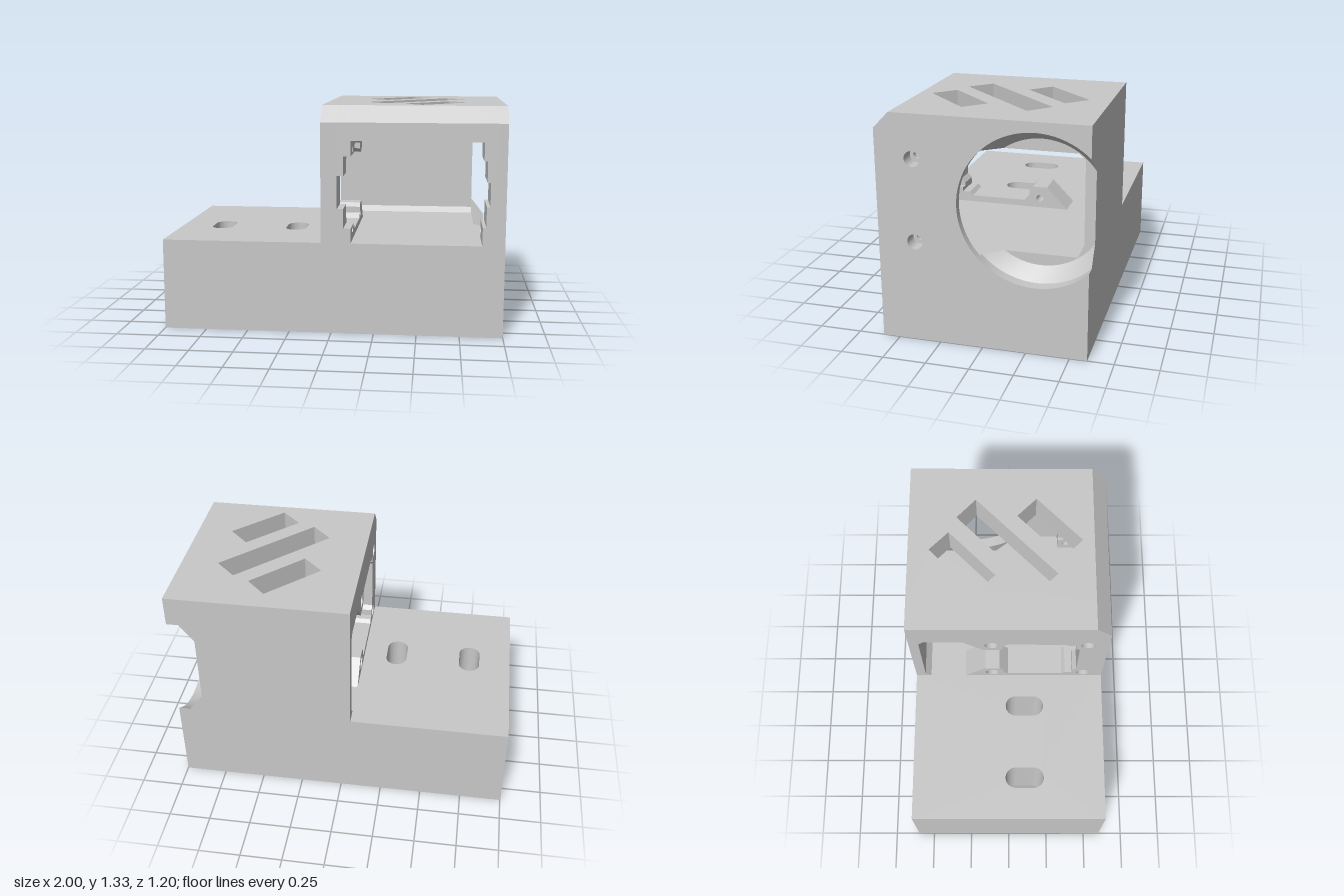
import * as THREE from 'three';
import { toCreasedNormals } from 'three/addons/utils/BufferGeometryUtils.js';

const CY = 0.8375, HALF = 0.2975, CZ = -0.3;   // centre height and half height of the cavity, port centre z
const TOP = 1.333, FLOOR = CY - HALF, CEIL = CY + HALF;

export function createModel() {
  const group = new THREE.Group();
  const grey = new THREE.MeshStandardMaterial({ color: 0xc8c8c8 });
  grey.name = 'grey';

  const add = (name, geometry) => {
    const mesh = new THREE.Mesh(toCreasedNormals(geometry, 0.5), grey);
    mesh.name = name;
    group.add(mesh);
  };
  // Points given as [a, b]; sign flips the first or second axis for the rotation
  const shapeOf = (pts, sx, sy) => new THREE.Shape(pts.map(([a, b]) => new THREE.Vector2(a * sx, b * sy)));
  const circle = (a, b, r) => new THREE.Path().absarc(a, b, r, 0, Math.PI * 2);

  // Slice with a (z, y) section between two x positions; startPts replaces the section at x0
  const slice = (name, x0, x1, pts, holes = [], startPts = null) => {
    const shape = shapeOf(pts, -1, 1);
    shape.holes.push(...holes);
    const g = new THREE.ExtrudeGeometry(shape, { depth: x1 - x0, bevelEnabled: false, curveSegments: 20 });
    if (startPts) {
      const p = g.attributes.position;
      for (let i = 0; i < p.count; i++) {
        if (p.getZ(i) > (x1 - x0) / 2) continue;
        const k = pts.findIndex(([z, y]) => Math.hypot(p.getX(i) + z, p.getY(i) - y) < 1e-5);
        if (k >= 0) p.setXY(i, -startPts[k][0], startPts[k][1]);
      }
      g.computeVertexNormals();
    }
    g.rotateY(Math.PI / 2).translate(x0, 0, 0);
    add(name, g);
  };
  // Slab with an (x, z) outline between two heights
  const slab = (name, y0, y1, pts, holes) => {
    const shape = shapeOf(pts, 1, -1);
    shape.holes.push(...holes);
    const g = new THREE.ExtrudeGeometry(shape, { depth: y1 - y0, bevelEnabled: false, curveSegments: 20 });
    add(name, g.rotateX(-Math.PI / 2).translate(0, y0, 0));
  };
  const rect = (x0, x1, z0, z1) => [[x0, z0], [x1, z0], [x1, z1], [x0, z1]];
  const mirrorY = (pts) => pts.map(([z, y]) => [z, 2 * CY - y]);

  // Low base with two mounting slots
  const slots = [-0.74, -0.27].map((x) => {
    const p = new THREE.Path();
    p.absarc(x, -0.045, 0.065, 0, Math.PI);
    p.absarc(x, -0.155, 0.065, Math.PI, Math.PI * 2);
    return p;
  });
  slab('base', 0, FLOOR, rect(-1, -0.06, -0.6, 0.6), slots);

  // Left-hand wall: window with screw tabs, in slices because the front opening steps into it
  const windowTop = [[-0.54, 1.1], [-0.505, CEIL], [-0.28, CEIL], [-0.15, 1.002], [-0.06, 1.002],
    [-0.035, 1.027], [-0.035, 1.065], [-0.005, 1.095], [0.34, 1.095], [0.36, 1.073], [0.405, 1.073],
    [0.405, 1.03], [0.43, 1.005]];
  const screwHoles = (zs, r) => zs.flatMap((z) => [0.6, 1.08].map((y) => circle(-z, y, r)));
  const roofEdge = [[0.6, 1.24], [0.51, TOP], [-0.6, TOP]];
  const block = [[-0.6, 0], [0.6, 0], ...roofEdge];
  const windowLoop = [...windowTop, ...mirrorY(windowTop).reverse()];
  slice('windowWall', -0.06, 0.035, block, [shapeOf(windowLoop, -1, 1), ...screwHoles([0.475, -0.105], 0.042)]);
  const openWall = (x0, x1, half, top) => {
    const upper = [...top, [top[top.length - 1][0], CY + half], [0.6, CY + half]];
    const pts = [[-0.6, 0], [0.6, 0], ...mirrorY(upper).reverse(), ...upper, ...roofEdge];
    slice('windowWallStep', x0, x1, pts, screwHoles([0.475, -0.105], 0.022));
  };
  openWall(0.035, 0.072, 0.095, windowTop);
  openWall(0.072, 0.115, 0.21, windowTop.slice(0, -2));

  // Middle: floor block with back wall, slotted roof and chamfered front lintel
  slice('floorAndBack', 0.115, 0.845, [[-0.6, 0], [0.6, 0], [0.6, FLOOR], [-0.505, FLOOR],
    [-0.54, 0.575], [-0.54, 1.1], [-0.505, CEIL], [-0.6, CEIL]]);
  const vents = [
    [[0.285, -0.08], [0.565, -0.36], [0.45, -0.475], [0.167, -0.195]],
    [[0.295, 0.29], [0.785, -0.2], [0.665, -0.315], [0.178, 0.172]],
    [[0.515, 0.44], [0.792, 0.167], [0.675, 0.05], [0.4, 0.325]],
  ].map((v) => shapeOf(v, 1, -1));
  slab('roof', CEIL, TOP, rect(0.115, 0.845, -0.6, 0.5), vents);
  slice('lintel', 0.115, 0.845, [[0.5, CEIL], [0.6, CEIL], [0.6, 1.24], [0.51, TOP], [0.5, TOP]]);

  // Seat of the round port, below and above the cavity: a cone, then a short cylinder
  const arc = (r, a0, a1, n) => Array.from({ length: n + 1 }, (_, i) => {
    const a = a0 + (a1 - a0) * i / n;
    return [CZ + r * Math.cos(a), CY + r * Math.sin(a)];
  });
  const R = 0.437;
  const lowerArc = (r) => arc(r, -Math.asin(HALF / r), -Math.PI + Math.acos(0.3 / r), 32);
  const lower = (r) => [[-0.6, 0], [0.6, 0], [0.6, FLOOR], ...lowerArc(r)];
  const upper = (r) => [...mirrorY(lowerArc(r)).reverse(), [0.6, CEIL], ...roofEdge];
  for (const [name, section] of [['portSeatLower', lower], ['portSeatUpper', upper]]) {
    slice(name, 0.845, 0.93, section(R), [], section(0.365));
    slice(name, 0.93, 0.955, section(R));
  }

  // Stepped right-hand edge of the front opening, drilled for the screws
  for (const [x0, x1, half, r] of [[0.87, 0.89, 0.19, 0.024], [0.89, 0.91, 0.07, 0.024], [0.91, 0.955, 0, 0.045]]) {
    for (const [y0, y1, holeY] of [[FLOOR, CY - half, 0.6], [CY + half, CEIL, 1.08]]) {
      slice('frontStep', x0, x1, [[0.33, y0], [0.6, y0], [0.6, y1], [0.33, y1]], [circle(-0.385, holeY, r)]);
    }
  }

  // Outer wall with the round port cutting the back edge, and two screw holes
  const a = Math.PI - Math.acos(0.3 / R);
  slice('portWall', 0.955, 1, [...block, ...arc(R, a, -a, 64)], screwHoles([0.385], 0.045));

  return group;
}
